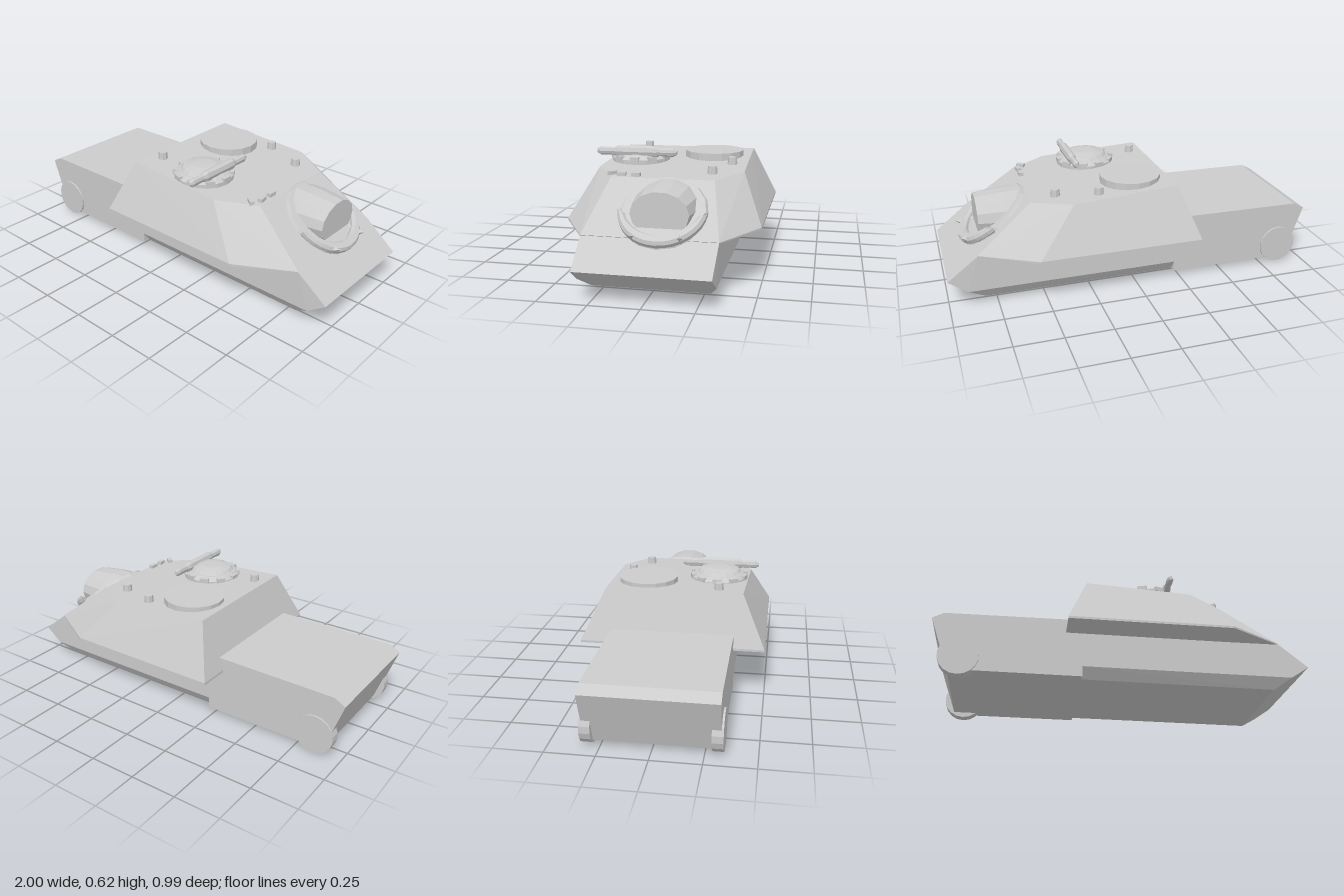
import * as THREE from 'three';
import { ConvexGeometry } from 'three/addons/geometries/ConvexGeometry.js';

const mat = new THREE.MeshStandardMaterial({ color: 0xcccccc, flatShading: true, side: THREE.DoubleSide });

function add(parent, name, geometry, x = 0, y = 0, z = 0) {
  const mesh = new THREE.Mesh(geometry, mat);
  mesh.name = name;
  mesh.position.set(x, y, z);
  parent.add(mesh);
  return mesh;
}

// Convex solid from corners given for one side and mirrored across z = 0
function mirroredSolid(corners) {
  const points = [];
  for (const [x, y, z] of corners) {
    points.push(new THREE.Vector3(x, y, z), new THREE.Vector3(x, y, -z));
  }
  return new ConvexGeometry(points);
}

const roofY = (x) => 0.555 - 0.06 * (x + 0.2);

export function createModel() {
  const model = new THREE.Group();
  model.name = 'assaultGun';

  // Hull: engine deck at the rear, chamfered body and pointed nose ahead
  add(model, 'rearHull', mirroredSolid([
    [-1, 0.31, 0.33], [-0.94, 0.342, 0.33], [-0.22, 0.35, 0.33],
    [-0.22, 0.028, 0.33], [-0.9, 0.028, 0.33],
  ]));
  add(model, 'frontHull', mirroredSolid([
    [-0.22, 0.028, 0.29], [-0.22, 0.085, 0.33], [-0.22, 0.285, 0.33],
    [0.81, 0.028, 0.29], [0.9, 0.087, 0.33], [1, 0.155, 0.325], [0.84, 0.281, 0.33],
  ]));

  // Sloped fighting compartment
  add(model, 'casemate', mirroredSolid([
    [-0.31, 0.272, 0.495], [-0.31, 0.284, 0.495],
    [0.55, 0.275, 0.495], [0.55, 0.287, 0.495],
    [0.83, 0.278, 0.335], [0.84, 0.284, 0.33],
    [-0.21, roofY(-0.21), 0.37], [0.35, roofY(0.35), 0.383], [0.55, 0.51, 0.262],
  ]));

  // Rear wheels
  for (const side of [-1, 1]) {
    const wheel = add(model, side > 0 ? 'frontSideWheel' : 'backSideWheel',
      new THREE.CylinderGeometry(0.105, 0.105, 0.055, 18), -0.85, 0.105, side * 0.3125);
    wheel.rotation.x = Math.PI / 2;
  }

  // Gun mount lying on the sloped front plate
  const mount = new THREE.Group();
  mount.name = 'gunMount';
  mount.position.set(0.715, 0.382, -0.045);
  mount.rotation.z = -0.668;
  model.add(mount);
  add(mount, 'mountPlate', new THREE.CylinderGeometry(0.205, 0.217, 0.02, 16), 0, 0.006, 0);

  // Crescent lip around the lower half of the plate
  const crescent = new THREE.Shape();
  crescent.absarc(0, 0, 0.217, -1.5, 1.5, false);
  crescent.absarc(-0.03, 0, 0.19, 1.2, -1.2, true);
  const lip = new THREE.ExtrudeGeometry(crescent, {
    depth: 0.02, bevelEnabled: true, bevelThickness: 0.015, bevelSize: 0.012,
    bevelOffset: -0.012, bevelSegments: 1, curveSegments: 8,
  });
  lip.rotateX(-Math.PI / 2);
  add(mount, 'mountLip', lip, 0, 0.012, 0);

  // Short fat gun housing
  const housing = new THREE.LatheGeometry([
    [0.165, 0], [0.163, 0.1], [0.15, 0.2], [0.142, 0.25], [0, 0.25],
  ].map(([r, h]) => new THREE.Vector2(r, h)), 14);
  housing.rotateZ(-Math.PI / 2);
  housing.scale(1, 0.75, 1);
  add(model, 'gunHousing', housing, 0.56, 0.393, -0.045);

  // Pointed lugs below the gun
  for (const z of [-0.155, 0.07]) {
    const lug = add(model, 'mountLug', new THREE.ConeGeometry(0.045, 0.1, 4), 0.86, 0.3, z);
    lug.rotation.z = -1.3;
  }

  // Flat round hatch
  add(model, 'roofHatch', new THREE.CylinderGeometry(0.163, 0.163, 0.05, 16), -0.012, 0.549, -0.17);

  // Commander's cupola with a ring of vision blocks and a low dome
  const cupola = new THREE.Group();
  cupola.name = 'cupola';
  cupola.position.set(0.138, 0.52, 0.212);
  model.add(cupola);
  add(cupola, 'cupolaBody', new THREE.LatheGeometry([
    [0.16, 0], [0.16, 0.028], [0.135, 0.05], [0.125, 0.05], [0.11, 0.066], [0.06, 0.078], [0, 0.08],
  ].map(([r, h]) => new THREE.Vector2(r, h)), 16));
  for (let i = 0; i < 10; i++) {
    const a = (i / 10) * Math.PI * 2;
    const block = add(cupola, 'visionBlock', new THREE.BoxGeometry(0.03, 0.025, 0.05),
      Math.cos(a) * 0.147, 0.032, Math.sin(a) * 0.147);
    block.rotation.y = -a;
  }

  // Cross bar over the cupola with a thicker middle and tapered ends
  const bar = new THREE.LatheGeometry([
    [0, -0.22], [0.012, -0.22], [0.023, -0.2], [0.021, -0.125], [0.031, -0.1],
    [0.031, 0.1], [0.021, 0.125], [0.023, 0.2], [0.012, 0.22], [0, 0.22],
  ].map(([r, h]) => new THREE.Vector2(r, h)), 8);
  bar.rotateX(Math.PI / 2);
  bar.scale(0.8, 1, 1);
  add(model, 'cupolaBar', bar, 0.237, 0.588, 0.212);

  // Roof periscopes
  for (const [x, z] of [[0.197, -0.3], [0.412, -0.228], [-0.14, 0.235]]) {
    add(model, 'periscope', new THREE.CylinderGeometry(0.023, 0.027, 0.05, 8), x, roofY(x) + 0.013, z);
  }

  // Sight blocks along the front edge of the roof
  for (const [x, z, turn] of [[0.525, 0.14, 0], [0.525, 0.215, 0.15], [0.5, 0.27, 0.9]]) {
    const block = add(model, 'sightBlock', new THREE.BoxGeometry(0.025, 0.03, 0.045), x, 0.515, z);
    block.rotation.y = turn;
  }

  return model;
}
